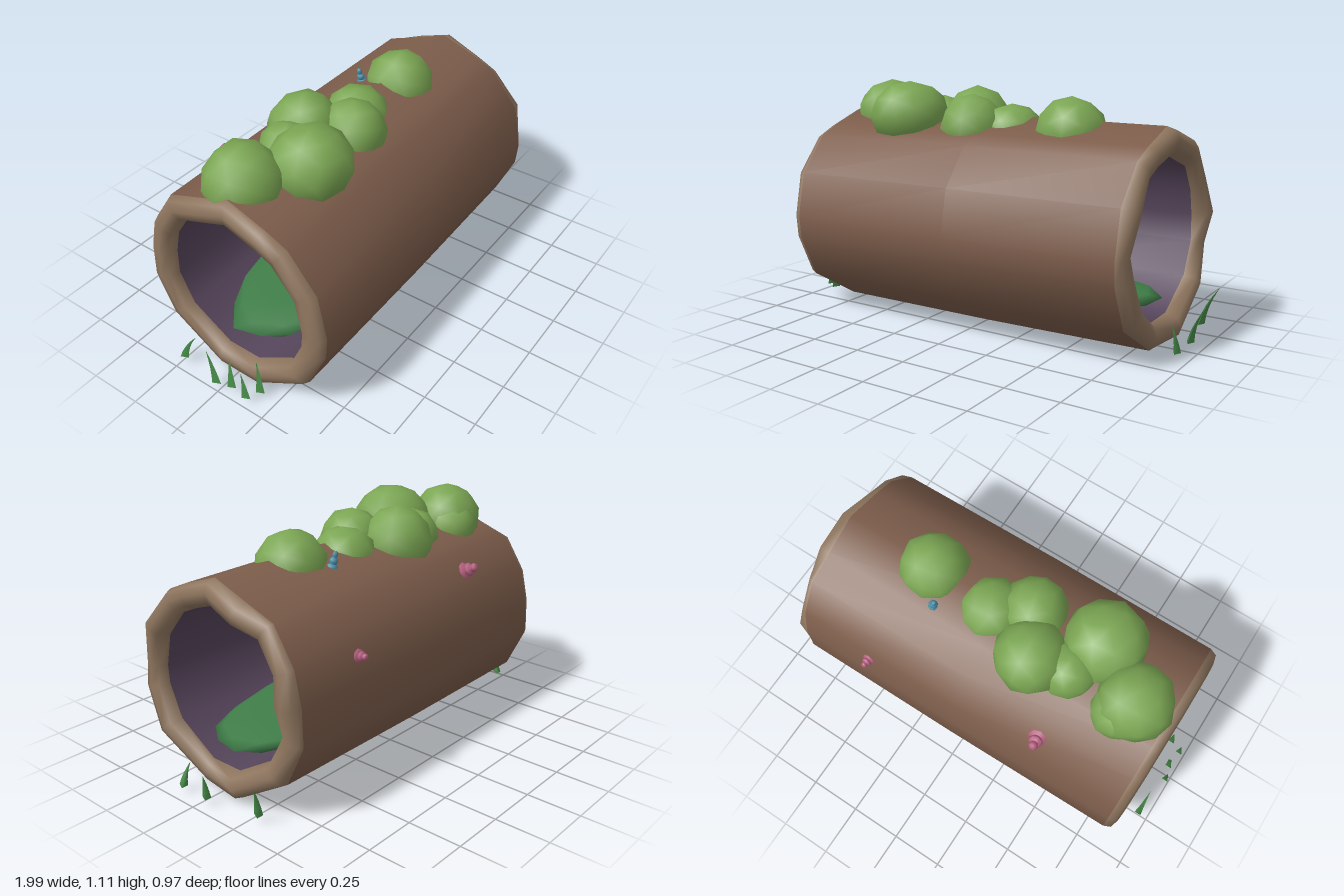
import * as THREE from 'three';
import { mergeVertices } from 'three/addons/utils/BufferGeometryUtils.js';

const paint = (color, side = THREE.FrontSide) => new THREE.MeshStandardMaterial({ color, side });
const CENTRE_Y = 0.48;

// Log cross-section as [z, y], from the top round over the front side
const OUTLINE = [
  [0, 0.965], [0.19, 0.9], [0.295, 0.853], [0.434, 0.687], [0.478, 0.48],
  [0.469, 0.369], [0.38, 0.17], [0.11, 0.003], [-0.11, 0.005], [-0.378, 0.17],
  [-0.472, 0.366], [-0.466, 0.534], [-0.43, 0.69], [-0.325, 0.85], [-0.18, 0.9],
];

// Wall profile as [x, scale of the cross-section]: outside, broken rim, inside, cut rim
const WALL = [
  [-0.835, 0.99], [0, 1], [0.82, 0.99],
  [0.855, 0.96], [0.87, 0.88], [0.855, 0.79], [0.81, 0.75],
  [0, 0.75], [-0.82, 0.75],
  [-0.868, 0.78], [-0.88, 0.87], [-0.868, 0.96],
];

function hollowLog() {
  const n = OUTLINE.length, m = WALL.length;
  const pos = [], index = [];
  const geo = new THREE.BufferGeometry();
  WALL.forEach(([x, s], row) => {
    const broken = row >= 3 && row <= 5;
    OUTLINE.forEach(([z, y], i) => {
      const jag = broken ? 0.016 * Math.sin(i * 2.3 + 0.7) + 0.008 * Math.sin(i * 4.1) : 0;
      pos.push(x + jag, CENTRE_Y + (y - CENTRE_Y) * s + 0.006 * x, z * s - 0.011 * x);
    });
  });
  for (let r = 0; r < m; r++) {
    const r2 = (r + 1) % m;
    // material: 0 bark, 1 rims, 2 hollow
    const mat = r < 2 ? 0 : r >= 6 && r < 8 ? 2 : 1;
    geo.addGroup(index.length, n * 6, mat);
    for (let i = 0; i < n; i++) {
      const j = (i + 1) % n;
      const a = r * n + i, b = r * n + j, c = r2 * n + i, d = r2 * n + j;
      index.push(a, b, c, b, d, c);
    }
  }
  geo.setAttribute('position', new THREE.Float32BufferAttribute(pos, 3));
  geo.setIndex(index);
  geo.computeVertexNormals();
  return geo;
}

// Slightly uneven low-poly ball with smooth normals
function blob(detail, seed) {
  const raw = new THREE.IcosahedronGeometry(1.02, detail);
  raw.deleteAttribute('normal');
  raw.deleteAttribute('uv');
  const geo = mergeVertices(raw, 1e-4);
  const p = geo.attributes.position;
  for (let i = 0; i < p.count; i++) {
    const k = 1 + 0.025 * Math.sin(i * 2.7 + seed * 1.9);
    p.setXYZ(i, p.getX(i) * k, p.getY(i) * k, p.getZ(i) * k);
  }
  geo.computeVertexNormals();
  return geo;
}

// Curved three-sided blade from base to tip
function grassBlade(base, tip) {
  const a = new THREE.Vector3(...base), c = new THREE.Vector3(...tip);
  const mid = new THREE.Vector3(a.x * 0.8 + c.x * 0.2, (a.y + c.y) / 2, a.z * 0.8 + c.z * 0.2);
  const curve = new THREE.QuadraticBezierCurve3(a, mid, c);
  const geo = new THREE.CylinderGeometry(0.001, 0.024, 1, 3, 4);
  const p = geo.attributes.position;
  for (let i = 0; i < p.count; i++) {
    const q = curve.getPoint(p.getY(i) + 0.5);
    p.setXYZ(i, q.x + p.getX(i) * 0.8, q.y, q.z + p.getZ(i));
  }
  geo.computeVertexNormals();
  return geo;
}

// Cone of stacked bulging rings, growing along +y
function ringedCone(radius, height) {
  const pts = [new THREE.Vector2(0, 0)];
  const rings = 3;
  for (let i = 0; i < rings; i++) {
    const r = radius * (1 - 0.27 * i);
    for (const [k, t] of [[0.75, 0.02], [1, 0.35], [0.95, 0.7], [0.6, 0.98]]) {
      pts.push(new THREE.Vector2(r * k, height * (i + t) / rings));
    }
  }
  pts.push(new THREE.Vector2(0, height));
  return new THREE.LatheGeometry(pts, 8);
}

export function createModel() {
  const model = new THREE.Group();
  const add = (name, geo, mat, parent = model) => {
    const mesh = new THREE.Mesh(geo, mat);
    mesh.name = name;
    parent.add(mesh);
    return mesh;
  };
  const group = (name) => {
    const g = new THREE.Group();
    g.name = name;
    model.add(g);
    return g;
  };

  add('hollowLog', hollowLog(), [paint(0x7d5d4b), paint(0x8f765f), paint(0x57465c)]);

  // Bushes along the top: x, y, z, horizontal radius, vertical radius
  const bushes = group('bushes');
  const bushGreen = paint(0x7ba653);
  [
    [-0.68, 0.93, -0.05, 0.17, 0.17],
    [-0.44, 0.95, 0.11, 0.185, 0.16],
    [-0.2, 0.915, -0.11, 0.165, 0.165],
    [-0.1, 0.91, 0.08, 0.15, 0.15],
    [0.06, 0.88, -0.01, 0.15, 0.14],
    [0.38, 0.91, 0.01, 0.16, 0.155],
    [-0.37, 0.9, -0.07, 0.13, 0.13],
    [-0.64, 0.9, -0.11, 0.125, 0.13],
  ].forEach(([x, y, z, r, h], i) => {
    const bush = add('bush', blob(1, i), bushGreen, bushes);
    bush.position.set(x, y, z);
    bush.scale.set(r, h, r);
    bush.rotation.y = i * 1.3;
  });

  // Moss bed on the floor of the hollow
  const moss = add('mossBed', blob(2, 3), paint(0x3f7d48));
  moss.position.set(0, 0.205, 0.01);
  moss.scale.set(0.8, 0.07, 0.31);

  // Grass tufts at both ends: base x, z, then tip x, y, z
  const grass = group('grass');
  const grassGreen = paint(0x478a48, THREE.DoubleSide);
  [
    [0.95, 0.12, 0.92, 0.145, 0.1],
    [0.95, -0.03, 0.99, 0.17, -0.065],
    [0.9, -0.29, 0.965, 0.2, -0.34],
    [-0.95, -0.24, -0.945, 0.19, -0.16],
    [-0.98, -0.02, -0.975, 0.19, -0.07],
    [-0.96, 0.05, -0.94, 0.17, 0.03],
    [-0.97, 0.14, -0.96, 0.15, 0.11],
    [-0.91, 0.17, -0.9, 0.19, 0.15],
  ].forEach(([x, z, tx, ty, tz]) => {
    add('grassBlade', grassBlade([x, 0.035, z], [tx, ty, tz]), grassGreen, grass);
  });

  // Small ringed fungi on the back of the log
  const fungi = group('fungi');
  const pink = paint(0xb5607f), blue = paint(0x4a8fa8);
  [
    [-0.4, 0.765, -0.35, 0.045, 0.085, pink, [-0.1, 0.45, -0.8]],
    [0.46, 0.635, -0.435, 0.032, 0.055, pink, [0, 0.15, -1]],
    [0.285, 0.895, -0.14, 0.026, 0.085, blue, [-0.2, 1, -0.15]],
  ].forEach(([x, y, z, r, h, mat, dir]) => {
    const f = add('ringedFungus', ringedCone(r, h), mat, fungi);
    f.position.set(x, y, z);
    f.quaternion.setFromUnitVectors(new THREE.Vector3(0, 1, 0), new THREE.Vector3(...dir).normalize());
  });

  return model;
}
